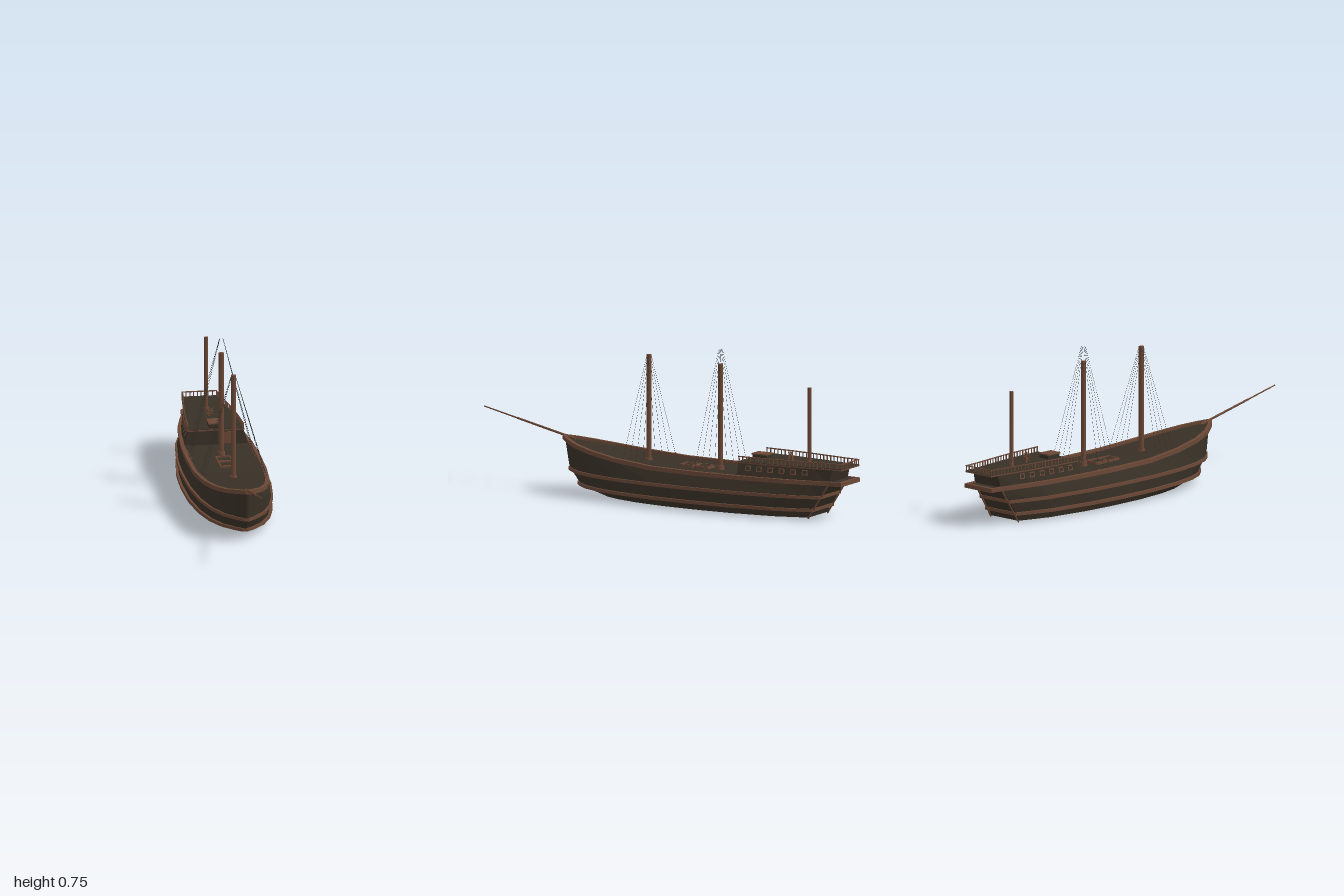
import * as THREE from 'three';

const wood = new THREE.MeshStandardMaterial({ color: 0x6b4836 });
const hullMat = new THREE.MeshStandardMaterial({ color: 0x383026 });
const ropeMat = new THREE.MeshStandardMaterial({ color: 0x2c2c2c });
wood.name = 'brownWood';
hullMat.name = 'darkTimber';
ropeMat.name = 'rope';

const V = (x, y, z) => new THREE.Vector3(x, y, z);
const lerp = THREE.MathUtils.lerp;

// piecewise linear lookup in [[key, value], ...]
function look(table, k) {
  for (let i = 1; i < table.length; i++) {
    const [a, va] = table[i - 1], [b, vb] = table[i];
    if (k <= b) return lerp(va, vb, Math.max(0, (k - a) / (b - a)));
  }
  return table[table.length - 1][1];
}

// flat-faced geometry from a list of quads
function quadGeometry(quads) {
  const pos = [];
  for (const [a, b, c, d] of quads) for (const p of [a, b, c, a, c, d]) pos.push(p.x, p.y, p.z);
  const g = new THREE.BufferGeometry();
  g.setAttribute('position', new THREE.Float32BufferAttribute(pos, 3));
  g.computeVertexNormals();
  return g;
}

// half outline (stern to bow on +x) completed to a closed ring
const ring = (half) => [...half, ...half.map((p) => V(-p.x, p.y, p.z)).reverse()];

// closed body skinned over stacked half outlines
function loft(levels) {
  const quads = [], n = levels[0].length, rings = levels.map(ring);
  for (let l = 0; l + 1 < rings.length; l++)
    for (let i = 0; i < 2 * n; i++) {
      const j = (i + 1) % (2 * n);
      quads.push([rings[l][i], rings[l + 1][i], rings[l + 1][j], rings[l][j]]);
    }
  const top = rings[rings.length - 1], bot = rings[0], m = 2 * n - 1;
  for (let i = 0; i + 1 < n; i++) {
    quads.push([top[m - i], top[m - i - 1], top[i + 1], top[i]]);
    quads.push([bot[i], bot[i + 1], bot[m - i - 1], bot[m - i]]);
  }
  return quadGeometry(quads);
}

// rectangular band running round a closed outline
function band(half, inside, outside, low, high) {
  const r = ring(half), n = r.length;
  const sect = r.map((p, i) => {
    const a = r[(i + n - 1) % n], b = r[(i + 1) % n];
    const d = V(b.x - a.x, 0, b.z - a.z).normalize();
    const at = (o, h) => V(p.x + d.z * o, p.y + h, p.z - d.x * o);
    return [at(outside, low), at(outside, high), at(-inside, high), at(-inside, low)];
  });
  const quads = [];
  sect.forEach((s, i) => {
    const t = sect[(i + 1) % n];
    for (let k = 0; k < 4; k++) quads.push([s[k], s[(k + 1) % 4], t[(k + 1) % 4], t[k]]);
  });
  return quadGeometry(quads);
}

export function createModel() {
  const model = new THREE.Group();
  model.name = 'sailingShip';
  const add = (name, geo, mat, parent = model) => {
    const m = new THREE.Mesh(geo, mat);
    m.name = name;
    parent.add(m);
    return m;
  };
  const group = (name) => {
    const g = new THREE.Group();
    g.name = name;
    model.add(g);
    return g;
  };
  const box = (name, w, h, d, x, y, z, mat, parent) => {
    const m = add(name, new THREE.BoxGeometry(w, h, d), mat, parent);
    m.position.set(x, y, z);
    return m;
  };
  const beam = (name, a, b, r0, r1, sides, mat, parent) => {
    const m = add(name, new THREE.CylinderGeometry(r1, r0, a.distanceTo(b), sides), mat, parent);
    m.position.copy(a).lerp(b, 0.5);
    m.quaternion.setFromUnitVectors(V(0, 1, 0), b.clone().sub(a).normalize());
    return m;
  };

  // hull: plan shape along its length, sheer line and waterline levels
  const plan = [[0, 0.5], [0.07, 0.66], [0.14, 0.8], [0.32, 0.96], [0.46, 1], [0.62, 0.98], [0.76, 0.87],
    [0.86, 0.7], [0.93, 0.48], [0.975, 0.22], [1, 0.03]];
  const sheerTable = [[-1, 0.18], [-0.1, 0.18], [0.02, 0.184], [0.15, 0.194], [0.3, 0.21], [0.45, 0.234], [0.56, 0.257]];
  const sheer = (z) => look(sheerTable, z);
  const halfWidth = [[0.008, 0.175], [0.04, 0.19], [0.117, 0.19], [0.18, 0.165]];
  const sternZ = [[0.008, -0.82], [0.04, -0.835], [0.117, -0.885], [0.18, -0.93]];
  const bowZ = [[0.008, 0.36], [0.04, 0.47], [0.117, 0.53], [0.18, 0.555]];
  const outline = (y, yAt = () => y) => plan.map(([t, f]) => {
    const z = lerp(look(sternZ, y), look(bowZ, y), t);
    return V(look(halfWidth, y) * f, yAt(z), z);
  });
  add('hull', loft([outline(0.008), outline(0.04), outline(0.117), outline(0.18, (z) => sheer(z) - 0.004)]), hullMat);
  add('lowerWale', band(outline(0.045), 0.004, 0.012, -0.007, 0.008), wood);
  add('upperWale', band(outline(0.11), 0.004, 0.01, -0.008, 0.007), wood);
  const railLine = [V(0.084, 0.18, -0.988), ...outline(0.18, sheer)];
  add('sheerRail', band(railLine, 0.006, 0.012, -0.011, 0.009), wood);

  // stern platform and raked corner posts
  const slab = (pts, y) => pts.map(([z, x]) => V(x, y, z));
  const platform = [[-0.99, 0.084], [-0.92, 0.086], [-0.72, 0.125]];
  add('sternPlatform', loft([slab(platform, 0.17), slab(platform, 0.184)]), hullMat);
  for (const s of [-1, 1])
    beam('sternPost', V(s * 0.09, 0.003, -0.82), V(s * 0.085, 0.175, -0.93), 0.004, 0.005, 6, wood);

  // stern cabin and its overhanging deck
  const cabinLow = [[-0.93, 0.086], [-0.85, 0.105], [-0.72, 0.13], [-0.6, 0.146], [-0.465, 0.154]];
  const cabinTop = [[-0.95, 0.08], [-0.85, 0.094], [-0.72, 0.112], [-0.6, 0.124], [-0.465, 0.131]];
  add('cabin', loft([slab(cabinLow, 0.175), slab(cabinTop, 0.246)]), hullMat);
  const deckEdge = [[-0.997, 0.084], [-0.92, 0.09], [-0.85, 0.1], [-0.72, 0.117], [-0.6, 0.128], [-0.463, 0.134]];
  add('cabinRoof', loft([slab(deckEdge, 0.244), slab(deckEdge, 0.252)]), hullMat);
  add('roofTrim', band(slab(deckEdge, 0.248), 0.001, 0.002, -0.004, 0.002), wood);

  // roof railing along the sides and stern
  const railing = group('railing');
  const edgeX = (z) => look(deckEdge, z) - 0.003;
  for (let i = 0; i <= 26; i++) {
    const z = lerp(-0.994, -0.467, i / 26);
    for (const s of [-1, 1]) box('railPost', 0.004, 0.024, 0.004, s * edgeX(z), 0.263, z, wood, railing);
  }
  for (let i = 1; i < 9; i++) box('railPost', 0.004, 0.024, 0.004, lerp(-0.081, 0.081, i / 9), 0.263, -0.994, wood, railing);
  box('sternHandrail', 0.168, 0.004, 0.007, 0, 0.275, -0.994, wood, railing);
  for (let i = 0; i + 1 < deckEdge.length; i++)
    for (const s of [-1, 1]) {
      const [a, b] = [deckEdge[i], deckEdge[i + 1]].map(([z, x]) => V(s * (x - 0.003), 0.275, Math.max(z, -0.994)));
      beam('handrail', a, b, 0.003, 0.003, 4, wood, railing);
    }

  // cabin windows laid on the sloping sides
  const windows = group('windows');
  const wall = (s, z, k) => V(s * lerp(look(cabinLow, z), look(cabinTop, z), k), lerp(0.175, 0.246, k), z);
  for (const s of [-1, 1])
    for (let i = 0; i < 6; i++) {
      const z = -0.52 - i * 0.058;
      const right = wall(s, z - s * 0.01, 0.6).sub(wall(s, z + s * 0.01, 0.6)).normalize();
      const up = wall(s, z, 1).sub(wall(s, z, 0)).normalize();
      const out = right.clone().cross(up).normalize();
      up.crossVectors(out, right);
      const pane = new THREE.Group();
      pane.name = 'window';
      pane.position.copy(wall(s, z, 0.68));
      pane.quaternion.setFromRotationMatrix(new THREE.Matrix4().makeBasis(right, up, out));
      windows.add(pane);
      box('windowFrame', 0.028, 0.026, 0.006, 0, 0, 0, wood, pane);
      box('windowPane', 0.018, 0.016, 0.008, 0, 0, 0, hullMat, pane);
    }

  // cabin door and companion hatch
  box('cabinDoor', 0.038, 0.058, 0.008, 0.055, 0.209, -0.464, wood);
  box('companionway', 0.056, 0.02, 0.076, 0, 0.261, -0.518, hullMat);
  box('companionSlide', 0.064, 0.006, 0.082, 0, 0.273, -0.518, wood);

  // steering wheel
  const wheel = group('steeringWheel');
  wheel.position.set(0, 0.277, -0.67);
  add('wheelRim', new THREE.TorusGeometry(0.015, 0.002, 5, 16), wood, wheel);
  for (let i = 0; i < 4; i++) box('spoke', 0.05, 0.003, 0.003, 0, 0, 0, wood, wheel).rotation.z = i * Math.PI / 4;
  box('wheelStand', 0.012, 0.03, 0.01, 0, -0.012, -0.009, wood, wheel);

  // framed deck hatches
  const hatches = group('deckHatches');
  for (const z of [-0.203, -0.122]) {
    box('hatchCover', 0.06, 0.008, 0.064, 0, 0.179, z, hullMat, hatches);
    for (const s of [-1, 1]) {
      box('hatchSide', 0.006, 0.014, 0.074, s * 0.033, 0.182, z, wood, hatches);
      box('hatchEnd', 0.072, 0.014, 0.006, 0, 0.182, z + s * 0.034, wood, hatches);
    }
  }

  // masts with collars, and the bowsprit
  for (const [name, z, y0, y1, r] of [['foreMast', 0.1, 0.17, 0.69, 0.0125], ['mainMast', -0.29, 0.17, 0.68, 0.0125], ['mizzenMast', -0.775, 0.24, 0.61, 0.009]]) {
    beam(name, V(0, y0, z), V(0, y1, z), r, r, 16, wood);
    beam('mastCollar', V(0, y0 + 0.005, z), V(0, y0 + 0.026, z), r * 1.5, r * 1.35, 16, wood);
  }
  const tip = V(0, 0.361, 0.999), root = V(0, 0.25, 0.5), joint = root.clone().lerp(tip, 0.64);
  beam('bowsprit', root, joint, 0.006, 0.005, 8, wood);
  beam('bowspritTip', joint, tip, 0.0038, 0.003, 8, wood);

  // shrouds fanning from the mast heads to the rails
  const rigging = group('rigging');
  for (const [z, top] of [[0.1, 0.69], [-0.29, 0.75]])
    for (const s of [-1, 1])
      for (let i = 0; i < 4; i++) {
        const foot = V(s * 0.152, sheer(z) + 0.006, z - 0.055 + i * 0.037);
        beam('shroud', foot, V(s * 0.008, top, z - 0.006 + i * 0.004), 0.0006, 0.0006, 3, ropeMat, rigging);
        box('shroudBlock', 0.006, 0.01, 0.006, foot.x, foot.y, foot.z, wood, rigging);
      }
  return model;
}
